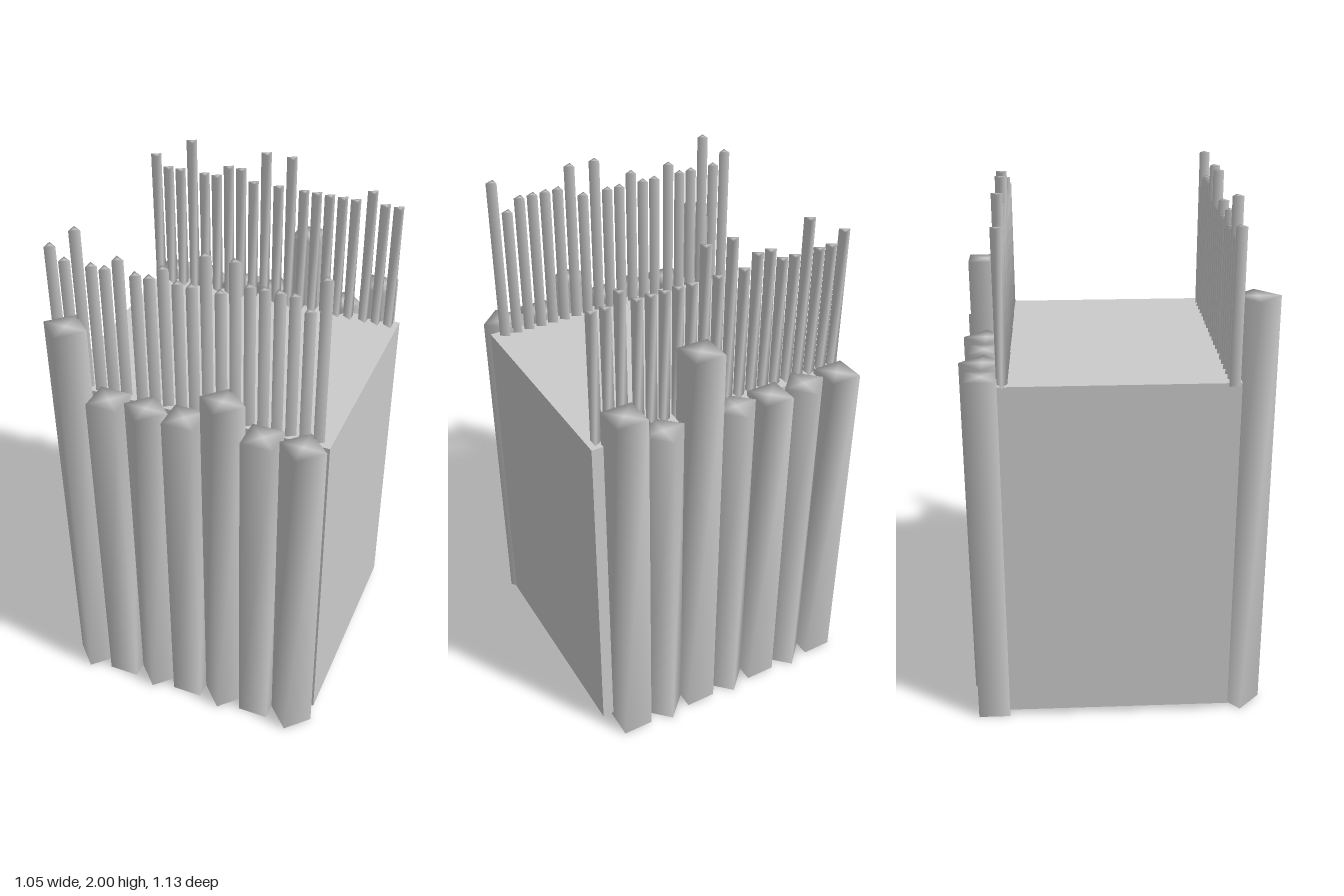
import * as THREE from 'three';
import { mergeVertices } from 'three/addons/utils/BufferGeometryUtils.js';

const material = new THREE.MeshStandardMaterial({ color: 0xcccccc });

// Upright prism with welded corners, so shading runs smoothly over its edges
function prism(name, sides, radius, turn, x, z, bottom, top) {
  let geo = new THREE.CylinderGeometry(radius, radius, top - bottom, sides, 1, false, turn);
  geo.deleteAttribute('normal');
  geo.deleteAttribute('uv');
  geo = mergeVertices(geo, 1e-4);
  geo.computeVertexNormals();
  const mesh = new THREE.Mesh(geo, material);
  mesh.name = name;
  mesh.position.set(x, (bottom + top) / 2, z);
  return mesh;
}

// Row of square posts, alternately turned by 45 degrees
function postRow(name, startX, z, diamondFirst, tall) {
  const row = new THREE.Group();
  row.name = name;
  for (let i = 0; i < 7; i++) {
    const diamond = (i % 2 === 0) === diamondFirst;
    row.add(prism('post', 4, 0.085, diamond ? 0 : Math.PI / 4,
      startX + i * 0.147, z, 0, tall[i] ?? 1.39));
  }
  return row;
}

// Row of thin three-sided pickets with one wider gap
function picketRow(name, startX, z, turn, gapAt, tall) {
  const row = new THREE.Group();
  row.name = name;
  for (let i = 0; i < 20; i++) {
    const x = startX + i * 0.0513 + (i >= gapAt ? 0.011 : 0);
    row.add(prism('picket', 3, 0.023, turn, x, z, 1.36, tall[i] ?? 1.875));
  }
  return row;
}

export function createModel() {
  const model = new THREE.Group();
  model.name = 'palisadeBlock';

  // Solid core
  const core = new THREE.Mesh(new THREE.BoxGeometry(1.04, 1.345, 0.87), material);
  core.name = 'core';
  core.position.set(0, 0.6975, -0.005);
  model.add(core);

  // Posts along the front and back
  model.add(postRow('frontPosts', -0.441, 0.48, true, { 0: 1.66, 4: 1.5 }));
  model.add(postRow('backPosts', -0.467, -0.482, false, { 4: 1.66, 6: 1.5 }));

  // Pickets standing on the core behind each row of posts
  model.add(picketRow('frontPickets', -0.517, 0.402, Math.PI / 2, 6, {
    0: 1.92, 2: 2, 5: 1.92, 8: 1.92, 11: 2, 13: 2, 14: 1.92, 15: 1.92, 16: 1.92, 17: 1.92, 19: 2,
  }));
  model.add(picketRow('backPickets', -0.5, -0.405, -Math.PI / 2, 17, {
    0: 1.92, 3: 2, 6: 1.92, 7: 1.92, 9: 2, 11: 2, 17: 1.92,
  }));
  return model;
}
